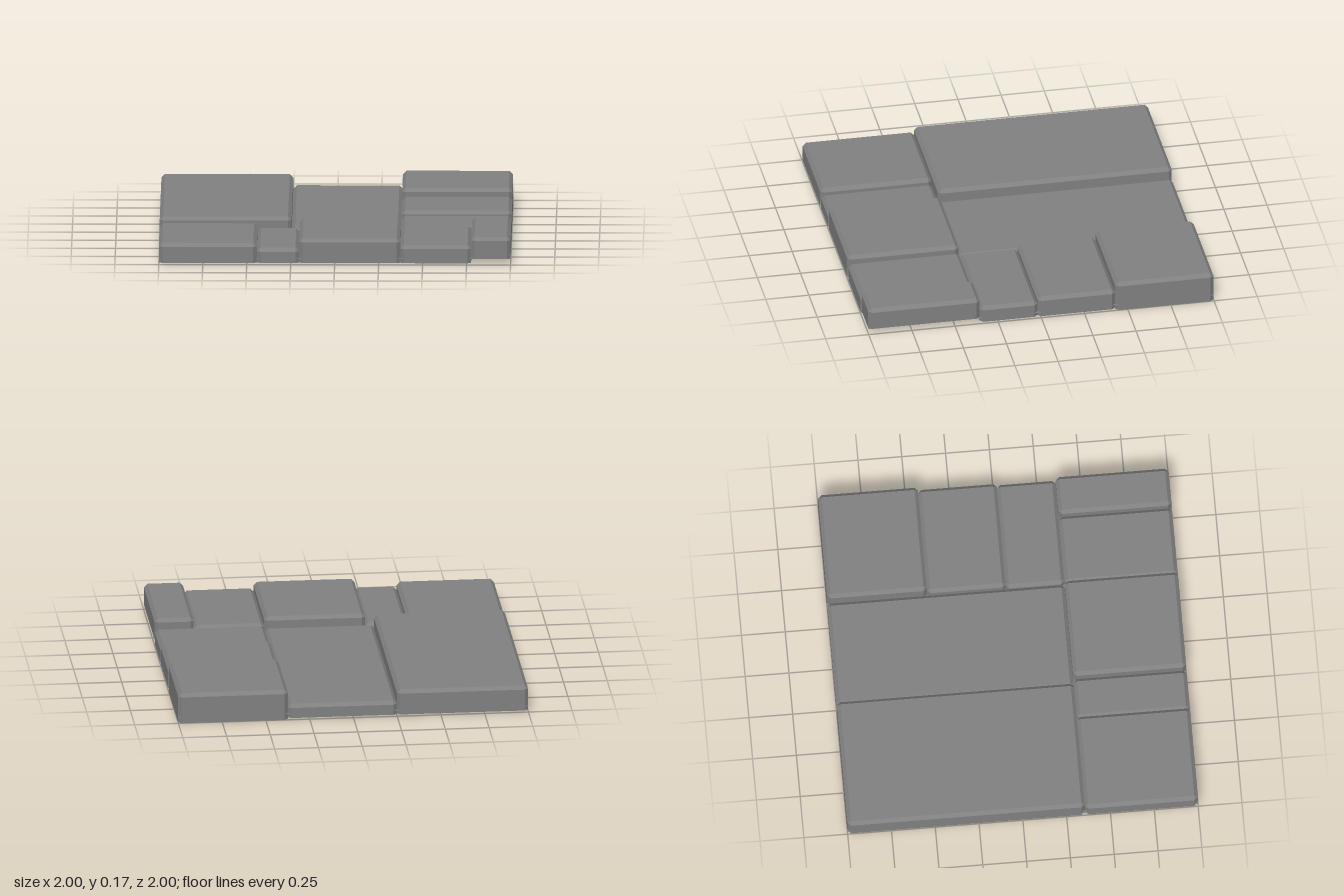
import * as THREE from 'three';

const BEVEL = 0.02;
const PLATE_Y = 0.035;

// Open-bottomed slab: upright walls with chamfered corners, a bevelled rim and a flat top
function slabGeometry(x0, x1, z0, z1, bottom, top) {
  const corners = [[x1, z1, 1, 1], [x1, z0, 1, -1], [x0, z0, -1, -1], [x0, z1, -1, 1]];
  const outer = [];
  const inner = [];
  corners.forEach(([x, z, sx, sz], i) => {
    const xi = x - sx * BEVEL;
    const zi = z - sz * BEVEL;
    const pair = [[xi, z], [x, zi]];
    outer.push(...(i % 2 ? pair.reverse() : pair));
    inner.push([xi, zi], [xi, zi]);
  });
  const ring = (outline, y) => outline.map(([x, z]) => new THREE.Vector3(x, y, z));
  const rings = [ring(outer, bottom), ring(outer, top - BEVEL), ring(inner, top)];

  const points = [];
  for (let r = 0; r < 2; r++) {
    for (let i = 0; i < 8; i++) {
      const j = (i + 1) % 8;
      const [a, b, c, d] = [rings[r][i], rings[r][j], rings[r + 1][j], rings[r + 1][i]];
      points.push(a, b, c);
      if (!c.equals(d)) points.push(a, c, d);
    }
  }
  const cap = rings[2];
  points.push(cap[0], cap[2], cap[4], cap[0], cap[4], cap[6]);

  const geometry = new THREE.BufferGeometry().setFromPoints(points);
  geometry.computeVertexNormals();
  return geometry;
}

// name, x from, x to, z from, z to, bottom, top
const SLABS = [
  ['backLeftLongSlab', -1, -0.25, -1, 0.355, 0.01, 0.155],
  ['backMiddleLongSlab', -0.25, 0.373, -1, 0.355, 0.01, 0.09],
  ['tallCornerSlab', 0.373, 1, -1, -0.43, 0, 0.175],
  ['sideMiddleSlab', 0.373, 1, -0.43, 0.02, 0.01, 0.13],
  ['sideLowSlab', 0.373, 1, 0.02, 0.355, 0.01, 0.105],
  ['frontSlab1', -1, -0.443, 0.355, 1, 0.01, 0.123],
  ['frontSlab2', -0.443, -0.203, 0.355, 1, 0.01, 0.095],
  ['frontSlab3', -0.203, 0.373, 0.355, 1, 0.01, 0.15],
  ['frontSlab4', 0.373, 0.776, 0.355, 1, 0.01, 0.112],
  ['frontSlab5', 0.776, 1, 0.355, 1, 0.035, 0.16],
];

export function createModel() {
  const group = new THREE.Group();
  group.name = 'pavingSlabs';
  const stone = new THREE.MeshStandardMaterial({
    color: 0x808080, flatShading: true, side: THREE.DoubleSide,
  });
  const add = (name, geometry) => {
    const mesh = new THREE.Mesh(geometry, stone);
    mesh.name = name;
    group.add(mesh);
    return mesh;
  };
  for (const [name, ...size] of SLABS) add(name, slabGeometry(...size));

  // Thin sheet closing the slabs from below
  const sheet = new THREE.PlaneGeometry(2, 2).rotateX(-Math.PI / 2);
  add('basePlate', sheet).position.y = PLATE_Y;
  return group;
}
